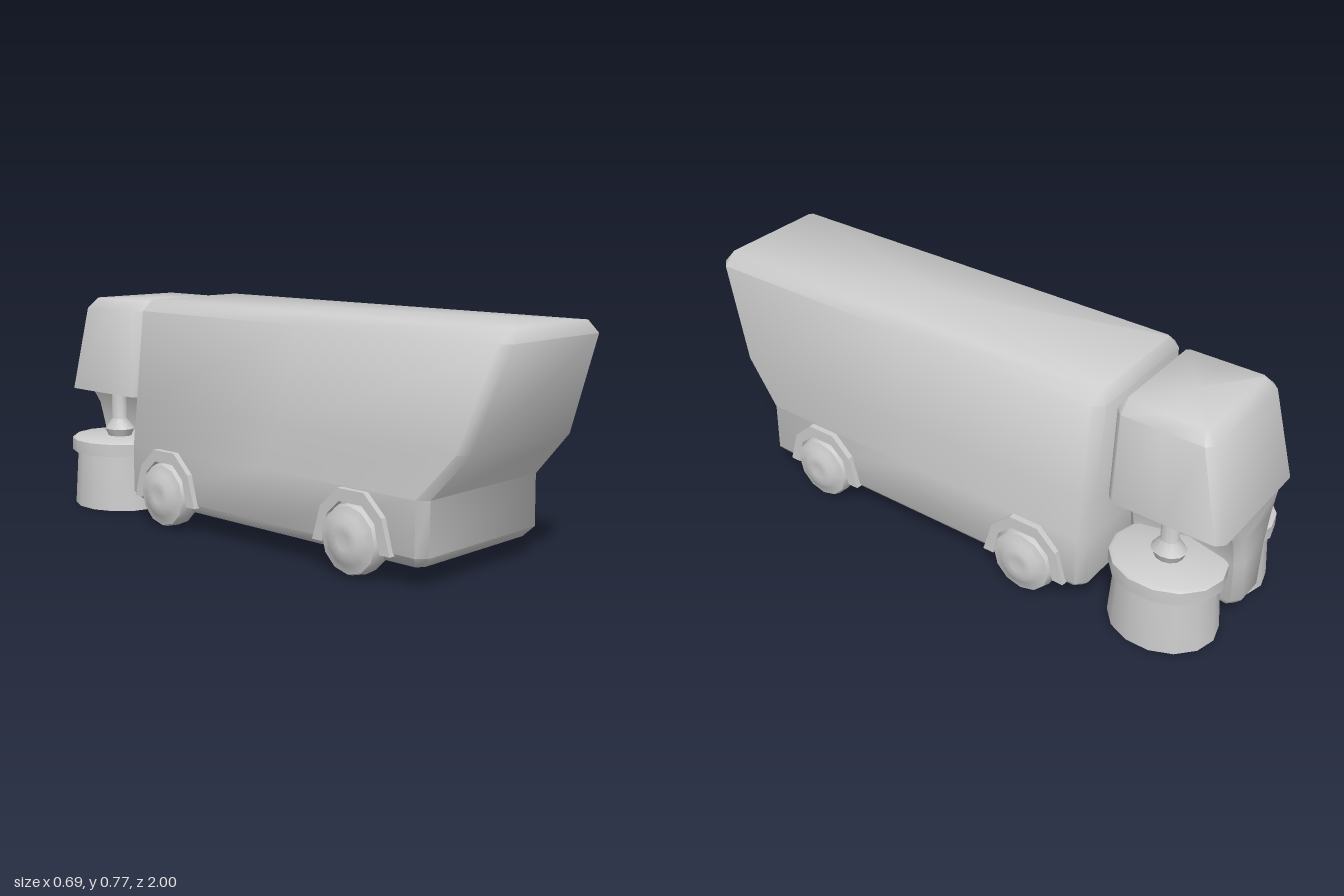
import * as THREE from 'three';
import { toCreasedNormals } from 'three/addons/utils/BufferGeometryUtils.js';

const grey = new THREE.MeshStandardMaterial({ color: 0xcccccc });

function mesh(geometry, name) {
  const m = new THREE.Mesh(geometry, grey);
  m.name = name;
  return m;
}

// Stack of chamfered rectangles, bottom to top.
// Each level: [y, half width, front z, back z, chamfer, half width at the waist]
function loft(levels, crease) {
  const pos = [], idx = [], n = 10;
  for (const [y, w, f, b, c, waist = w] of levels) {
    const m = (f + b) / 2;
    const right = [[w - c, f], [w, f - c], [waist, m], [w, b + c], [w - c, b]];
    const left = right.map(([x, z]) => [-x, z]).reverse();
    for (const [x, z] of [...right, ...left]) pos.push(x, y, z);
  }
  const last = levels.length - 1;
  for (let i = 0; i < last; i++) {
    for (let j = 0; j < n; j++) {
      const k = (j + 1) % n;
      const a = i * n + j, b = i * n + k, c = b + n, d = a + n;
      idx.push(a, b, c, a, c, d);
    }
  }
  // End caps, fanned around a centre point
  for (const i of [0, last]) {
    const centre = pos.length / 3;
    pos.push(0, levels[i][0], (levels[i][2] + levels[i][3]) / 2);
    for (let j = 0; j < n; j++) {
      const a = i * n + j, b = i * n + (j + 1) % n;
      if (i === 0) idx.push(centre, b, a);
      else idx.push(centre, a, b);
    }
  }
  const g = new THREE.BufferGeometry();
  g.setAttribute('position', new THREE.Float32BufferAttribute(pos, 3));
  g.setIndex(idx);
  return toCreasedNormals(g, crease);
}

function lathe(profile, sides, crease = 0.65) {
  const g = new THREE.LatheGeometry(profile.map(([r, y]) => new THREE.Vector2(r, y)), sides);
  return toCreasedNormals(g, crease);
}

// Half ring that stands proud of the body around each wheel
function archGeometry() {
  const shape = new THREE.Shape();
  const outer = [[0.155, -0.025], [0.122, 0.085], [0.052, 0.15]];
  const inner = [[0.115, -0.025], [0.095, 0.065], [0.045, 0.11]];
  const half = (pts) => [...pts, ...pts.map(([x, y]) => [-x, y]).reverse()];
  shape.setFromPoints([...half(outer), ...half(inner).reverse()]
    .map(([x, y]) => new THREE.Vector2(x, y)));
  const g = new THREE.ExtrudeGeometry(shape, { depth: 0.06, bevelEnabled: false });
  return g.rotateY(Math.PI / 2);
}

export function createModel() {
  const group = new THREE.Group();

  // Long tapering body with an overhanging nose
  group.add(mesh(loft([
    [0.065, 0.265, 0.73, -0.54, 0.02],
    [0.1, 0.295, 0.762, -0.57, 0.03],
    [0.27, 0.292, 0.762, -0.57, 0.03],
    [0.415, 0.275, 0.89, -0.57, 0.03],
    [0.73, 0.24, 1, -0.57, 0.03],
    [0.768, 0.2, 0.975, -0.545, 0.01],
  ], 0.95), 'body'));

  // Cab with a pinched keel running down between the brushes
  group.add(mesh(loft([
    [0.07, 0.06, -0.62, -0.97, 0.02, 0.04],
    [0.1, 0.075, -0.595, -0.995, 0.025, 0.045],
    [0.25, 0.085, -0.595, -0.995, 0.025, 0.045],
    [0.35, 0.11, -0.595, -0.995, 0.025, 0.06],
    [0.415, 0.15, -0.595, -0.992, 0.025, 0.1],
    [0.416, 0.232, -0.595, -0.992, 0.025],
    [0.72, 0.212, -0.595, -0.92, 0.025],
    [0.756, 0.18, -0.615, -0.885, 0.01],
  ], 0.95), 'cab'));

  // Wheels and arches
  const wheelGeo = lathe([
    [0, 0.235], [0.06, 0.245], [0.108, 0.255], [0.112, 0.3], [0.105, 0.322],
    [0.075, 0.33], [0.055, 0.344], [0.025, 0.344], [0, 0.338],
  ], 12, 0.9);
  const archGeo = archGeometry();
  for (const s of [1, -1]) {
    const side = s > 0 ? 'left' : 'right';
    for (const [end, z] of [['Front', 0.5], ['Rear', -0.355]]) {
      const wheel = mesh(wheelGeo, `${side}${end}Wheel`);
      wheel.rotation.z = -s * Math.PI / 2;
      wheel.position.set(0, 0.117, z);
      group.add(wheel);

      const arch = mesh(archGeo, `${side}${end}WheelArch`);
      arch.position.set(s > 0 ? 0.253 : -0.313, 0.117, z);
      group.add(arch);
    }

    // Round brush hanging from a flared rod
    const brush = new THREE.Group();
    brush.name = `${side}Brush`;
    brush.add(mesh(lathe([[0, 0], [0.18, 0], [0.165, 0.205], [0, 0.205]], 14), 'bristles'));
    brush.add(mesh(lathe([[0, 0.2], [0.187, 0.2], [0.187, 0.245], [0.175, 0.252], [0, 0.252]], 14), 'brushRim'));
    brush.add(mesh(lathe([
      [0, 0.245], [0.045, 0.25], [0.058, 0.278], [0.03, 0.315], [0.03, 0.44], [0, 0.44],
    ], 12), 'brushRod'));
    brush.scale.x = 0.89;
    brush.position.set(s * 0.16, 0, -0.788);
    group.add(brush);
  }
  return group;
}
